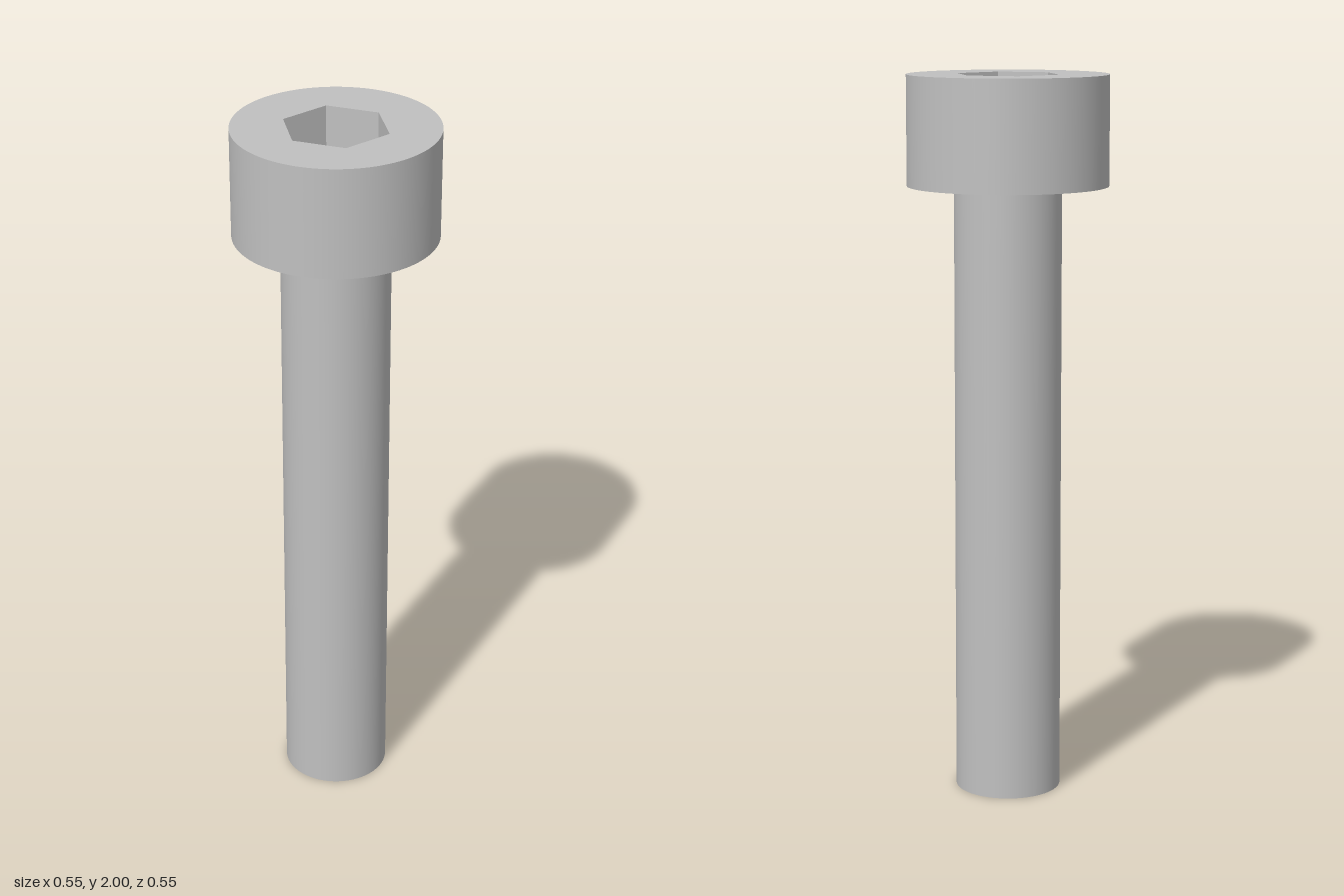
import * as THREE from 'three';

const HEAD_R = 0.275, SHANK_R = 0.147, HEX_R = 0.145;
const TOP = 2, HEAD_BASE = 1.7, SOCKET_DEPTH = 0.17, SEGMENTS = 96;

export function createModel() {
  const model = new THREE.Group();
  model.name = 'socketHeadBolt';
  const steel = new THREE.MeshStandardMaterial({ color: 0xc0c0c0 });
  steel.name = 'steel';

  const add = (name, geometry, y, parent = model) => {
    const mesh = new THREE.Mesh(geometry, steel);
    mesh.name = name;
    mesh.position.y = y;
    parent.add(mesh);
  };
  const wall = (r, h) => new THREE.CylinderGeometry(r, r, h, SEGMENTS, 1, true);

  // Shank: smooth side and flat end
  const shank = new THREE.Group();
  shank.name = 'shank';
  add('shankSide', wall(SHANK_R, HEAD_BASE), HEAD_BASE / 2, shank);
  add('shankEnd', new THREE.CircleGeometry(SHANK_R, SEGMENTS).rotateX(Math.PI / 2), 0, shank);

  // Head: side, bearing face under it, and top face with a hexagonal hole
  const head = new THREE.Group();
  head.name = 'head';
  add('headSide', wall(HEAD_R, TOP - HEAD_BASE), (TOP + HEAD_BASE) / 2, head);
  add('bearingFace', new THREE.RingGeometry(SHANK_R, HEAD_R, SEGMENTS).rotateX(Math.PI / 2), HEAD_BASE, head);
  const face = new THREE.Shape().absarc(0, 0, HEAD_R, 0, Math.PI * 2);
  const hex = [];
  for (let i = 0; i < 6; i++) {
    const a = -i * Math.PI / 3;
    hex.push(new THREE.Vector2(Math.cos(a) * HEX_R, Math.sin(a) * HEX_R));
  }
  face.holes.push(new THREE.Path(hex));
  add('topFace', new THREE.ShapeGeometry(face, SEGMENTS).rotateX(-Math.PI / 2), TOP, head);

  // Hex socket: walls mirrored to face inward, with flat normals, and a floor
  const socket = new THREE.Group();
  socket.name = 'hexSocket';
  const walls = new THREE.CylinderGeometry(HEX_R, HEX_R, SOCKET_DEPTH, 6, 1, true, Math.PI / 2)
    .toNonIndexed().scale(-1, 1, 1);
  walls.computeVertexNormals();
  add('socketWalls', walls, TOP - SOCKET_DEPTH / 2, socket);
  add('socketFloor', new THREE.CircleGeometry(HEX_R, 6).rotateX(-Math.PI / 2), TOP - SOCKET_DEPTH, socket);

  model.add(shank, head, socket);
  return model;
}
